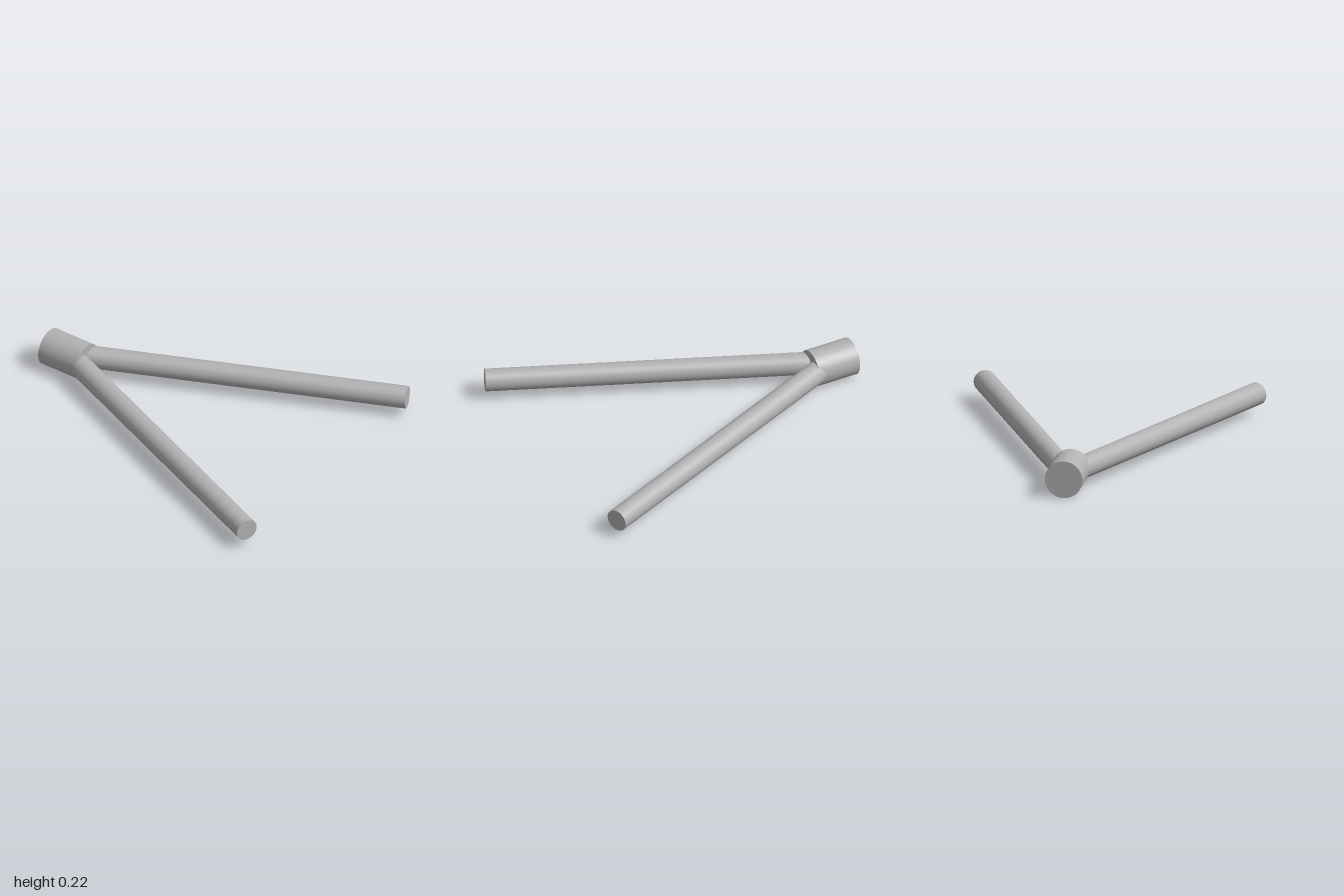
import * as THREE from 'three';

const metal = new THREE.MeshStandardMaterial({ color: 0xb2b2b2 });
metal.name = 'plain grey';

// Capped round bar running between two points
function bar(name, start, end, radius) {
  const axis = end.clone().sub(start);
  const mesh = new THREE.Mesh(new THREE.CylinderGeometry(radius, radius, axis.length(), 64), metal);
  mesh.name = name;
  mesh.position.copy(start).add(end).multiplyScalar(0.5);
  mesh.quaternion.setFromUnitVectors(new THREE.Vector3(0, 1, 0), axis.normalize());
  return mesh;
}

export function createModel() {
  const group = new THREE.Group();
  group.name = 'forkedBracket';
  const y = 0.11;

  // Short thick hub at the back
  group.add(bar('hub', new THREE.Vector3(0, y, -1), new THREE.Vector3(0, y, -0.735), 0.11));

  // Two slim legs spreading forward from the hub's centre
  for (const side of [-1, 1]) {
    group.add(bar(side > 0 ? 'leftLeg' : 'rightLeg',
      new THREE.Vector3(0, y, -0.867), new THREE.Vector3(side * 0.796, y, 0.973), 0.066));
  }
  return group;
}
